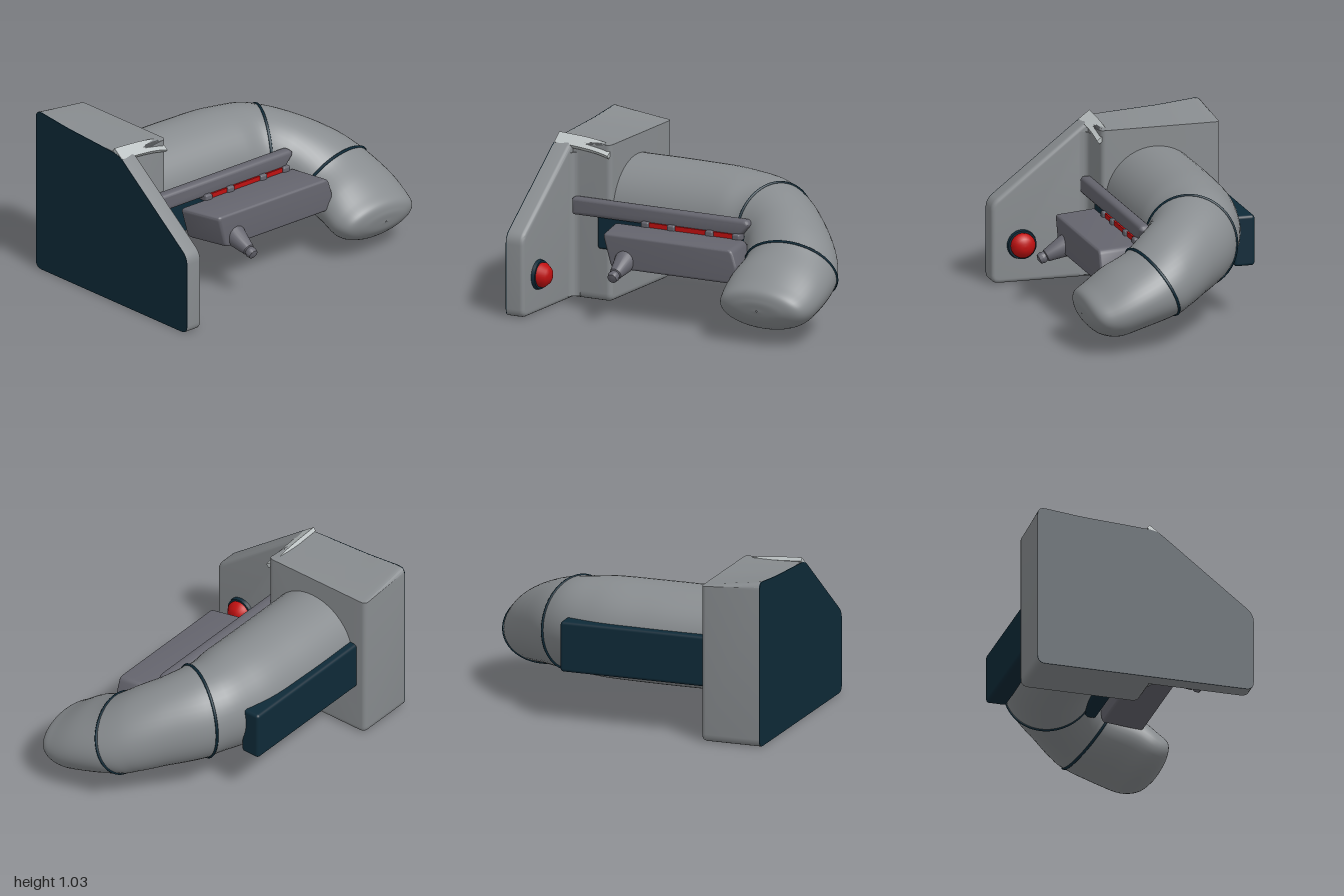
import * as THREE from 'three';
import { toCreasedNormals } from 'three/addons/utils/BufferGeometryUtils.js';
import { RoundedBoxGeometry } from 'three/addons/geometries/RoundedBoxGeometry.js';

const mat = (name, color) => Object.assign(new THREE.MeshStandardMaterial({ color }), { name });

// Closed shape with every corner rounded by r
function roundedShape(points, r) {
  const p = points.map(([x, y]) => new THREE.Vector2(x, y));
  const shape = new THREE.Shape();
  p.forEach((c, i) => {
    const toward = (q) => c.clone().add(q.clone().sub(c).setLength(r));
    const a = toward(p[(i + p.length - 1) % p.length]);
    const b = toward(p[(i + 1) % p.length]);
    if (i === 0) shape.moveTo(a.x, a.y); else shape.lineTo(a.x, a.y);
    shape.quadraticCurveTo(c.x, c.y, b.x, b.y);
  });
  shape.closePath();
  return shape;
}

// Bevelled extrusion filling z0..z1 without growing the outline
function slab(points, r, z0, z1, bevel) {
  const geo = new THREE.ExtrudeGeometry(roundedShape(points, r), {
    depth: z1 - z0 - 2 * bevel, bevelEnabled: bevel > 0, bevelThickness: bevel,
    bevelSize: bevel, bevelOffset: -bevel, bevelSegments: 4, curveSegments: 5,
  });
  return geo.translate(0, 0, z0 + bevel);
}

function moveVertices(geo, rule) {
  const pos = geo.attributes.position;
  const v = new THREE.Vector3();
  for (let i = 0; i < pos.count; i++) {
    rule(v.fromBufferAttribute(pos, i));
    pos.setXYZ(i, v.x, v.y, v.z);
  }
  return geo;
}

const smooth = (geo) => toCreasedNormals(geo, 0.6);

// Wall plate drawn in (z, y), flat at the back and bevelled at x = front
function wallSlab(points, front, bevel) {
  const geo = slab(points, 0.05, -front, 0.996 + bevel, bevel).rotateY(-Math.PI / 2);
  return moveVertices(geo, (v) => { v.x = Math.max(v.x, -0.996); });
}

// Sleeve sections: inner x,z | outer x,z | centre y, half height, forward tilt
const SECTIONS = [
  [-0.65, 0.04, -0.65, -0.58, 0.54, 0.315, 0],
  [-0.2, 0.04, -0.2, -0.58, 0.54, 0.315, 0],
  [0.08, 0.045, 0.18, -0.555, 0.537, 0.31, 0],
  [0.25, 0.06, 0.5, -0.44, 0.52, 0.29, 0],
  [0.33, 0.1, 0.74, -0.22, 0.475, 0.265, 0.02],
  [0.37, 0.15, 0.89, -0.04, 0.425, 0.235, 0.06],
  [0.39, 0.19, 0.96, 0.1, 0.375, 0.2, 0.1],
  [0.38, 0.37, 0.995, 0.3, 0.295, 0.18, 0.08],
  [0.385, 0.48, 0.985, 0.45, 0.235, 0.16, 0.06],
  [0.42, 0.555, 0.95, 0.54, 0.22, 0.125, 0.045],
  [0.51, 0.59, 0.86, 0.585, 0.22, 0.07, 0.02],
  [0.685, 0.598, 0.695, 0.598, 0.22, 0.002, 0],
];
const track = (f) => new THREE.CatmullRomCurve3(SECTIONS.map((s) => new THREE.Vector3(...f(s))));
const innerTrack = track((s) => [s[0], s[4], s[1]]);
const outerTrack = track((s) => [s[2], s[5], s[3]]);
const tiltTrack = track((s) => [s[6], 0, 0]);

function sleeveRing(t, count) {
  const a = innerTrack.getPoint(t), b = outerTrack.getPoint(t), tilt = tiltTrack.getPoint(t).x;
  return Array.from({ length: count }, (_, j) => {
    const c = Math.cos((j / count) * Math.PI * 2), s = Math.sin((j / count) * Math.PI * 2);
    return new THREE.Vector3(
      (a.x + b.x) / 2 + (c * (a.x - b.x)) / 2,
      a.y + s * b.y,
      (a.z + b.z) / 2 + (c * (a.z - b.z)) / 2 + s * tilt);
  });
}

function sleeveGeometry(rows = 77, cols = 48) {
  const points = [], index = [];
  for (let i = 0; i <= rows; i++) points.push(...sleeveRing(i / rows, cols));
  for (let i = 0; i < rows; i++) {
    for (let j = 0; j < cols; j++) {
      const a = i * cols + j, b = i * cols + ((j + 1) % cols);
      index.push(a, a + cols, b, b, a + cols, b + cols);
    }
  }
  const geo = new THREE.BufferGeometry().setFromPoints(points);
  geo.setIndex(index);
  geo.computeVertexNormals();
  return geo;
}

export function createModel() {
  const model = new THREE.Group();
  model.name = 'wallMountedArm';
  const grey = mat('bodyGrey', 0x888c8f);
  const slate = mat('slateGrey', 0x65656e);
  const navy = mat('darkNavy', 0x0e2a38);
  const red = mat('signalRed', 0xc01010);
  const pale = mat('paleGrey', 0xbcc2c3);
  const add = (name, geo, material, x = 0, y = 0, z = 0) => {
    const mesh = new THREE.Mesh(geo, material);
    mesh.name = name;
    mesh.position.set(x, y, z);
    model.add(mesh);
    return mesh;
  };

  // Mounting block, its top falling away from the wall
  const block = wallSlab([[-0.68, 0], [0.07, 0], [0.07, 0.98], [-0.07, 0.985], [-0.4, 1.005], [-0.68, 1.035]], -0.62, 0.03);
  moveVertices(block, (v) => {
    if (v.y > 0.9) v.y += (0.975 - v.y) * ((v.x + 1) / 0.38);
  });
  add('mountingBlock', smooth(block), grey);

  // Thin sloping plate, the fillet joining it to the block, and the dark back
  const wing = [[-0.05, 0], [0.68, 0], [0.68, 0.5], [0.07, 0.975], [-0.05, 0.975]];
  add('slopingPlate', smooth(wallSlab(wing, -0.88, 0.025)), grey);
  const fillet = new THREE.Shape();
  fillet.moveTo(-0.89, -0.06);
  fillet.lineTo(-0.89, -0.125);
  fillet.lineTo(-0.88, -0.125);
  fillet.quadraticCurveTo(-0.88, -0.07, -0.83, -0.07);
  fillet.lineTo(-0.83, -0.06);
  const filletGeo = new THREE.ExtrudeGeometry(fillet, { depth: 0.89, bevelEnabled: false });
  add('plateFillet', smooth(filletGeo.rotateX(-Math.PI / 2)), grey, 0, 0.015);
  const back = [[-0.68, 0], [0.68, 0], [0.68, 0.5], [0.07, 0.975], [-0.07, 0.985], [-0.4, 1.005], [-0.68, 1.035]];
  add('backPanel', slab(back, 0.05, 0.995, 1, 0).rotateY(-Math.PI / 2), navy);

  // Pale ridge strip drooping at its free end
  const ridge = new THREE.BoxGeometry(0.37, 0.025, 0.085, 12, 1, 1).rotateX(0.65);
  moveVertices(ridge, (v) => {
    const t = (v.x + 0.185) / 0.37;
    v.y -= 0.02 * t + 0.025 * t ** 4;
  });
  add('ridgeStrip', smooth(ridge), pale, -0.813, 0.973, 0.052);

  // Bent sleeve with two seams
  add('bentSleeve', sleeveGeometry(), grey);
  for (const [name, k] of [['elbowSeam', 3], ['cuffSeam', 6]]) {
    const loop = new THREE.CatmullRomCurve3(sleeveRing(k / (SECTIONS.length - 1), 32), true);
    add(name, new THREE.TubeGeometry(loop, 96, 0.009, 6, true), navy);
  }

  // Dark boxes behind and in front of the sleeve
  add('rearBox', new RoundedBoxGeometry(0.96, 0.315, 0.13, 3, 0.02), navy, -0.16, 0.482, -0.547);
  add('frontBacking', new RoundedBoxGeometry(1.05, 0.21, 0.11, 3, 0.015), navy, -0.175, 0.435, 0.035);

  // Upper rail with a pointed end
  const rail = [[-0.86, 0.53], [0.3, 0.53], [0.37, 0.61], [0.345, 0.638], [-0.86, 0.638]];
  add('upperRail', smooth(slab(rail, 0.018, 0.055, 0.13, 0.025)), slate);

  // Red strip held by small clips
  add('redStrip', new THREE.BoxGeometry(0.63, 0.035, 0.05), red, -0.02, 0.53, 0.115);
  for (const x of [-0.34, -0.16, 0.105, 0.29]) {
    add('stripClip', new RoundedBoxGeometry(0.055, 0.045, 0.07, 2, 0.012), slate, x, 0.53, 0.118);
  }

  // Lower housing, narrowing toward the front at its open end
  const housing = [[-0.56, 0.52], [-0.5, 0.31], [0.4, 0.31], [0.44, 0.4], [0.4, 0.52]];
  const housingGeo = moveVertices(slab(housing, 0.03, 0.13, 0.4, 0.015), (v) => {
    if (v.x < -0.3) v.x += (v.z - 0.13) * 0.26;
    else v.x -= Math.max(0, 0.25 - v.z) * 0.4;
  });
  add('lowerHousing', smooth(housingGeo), slate);

  // Tapered peg with a ball tip
  const profile = [[0, -0.06], [0.068, -0.06], [0.068, 0.01], [0.038, 0.14], [0.03, 0.145], [0.036, 0.165], [0.03, 0.188], [0, 0.198]];
  const peg = new THREE.LatheGeometry(profile.map(([x, y]) => new THREE.Vector2(x, y)), 24);
  add('peg', smooth(peg.rotateX(Math.PI / 2 + 0.42)), slate, -0.34, 0.362, 0.375);

  // Push button in a dark collar
  add('buttonCollar', smooth(new THREE.CylinderGeometry(0.088, 0.096, 0.04, 32).rotateZ(-Math.PI / 2)), navy, -0.878, 0.235, 0.49);
  const cap = [[0.076, -0.03], [0.076, 0.025], [0.05, 0.058], [0.02, 0.065], [0, 0.066]];
  const button = new THREE.LatheGeometry(cap.map(([x, y]) => new THREE.Vector2(x, y)), 32);
  add('redButton', button.rotateZ(-Math.PI / 2), red, -0.865, 0.235, 0.49);

  return model;
}
